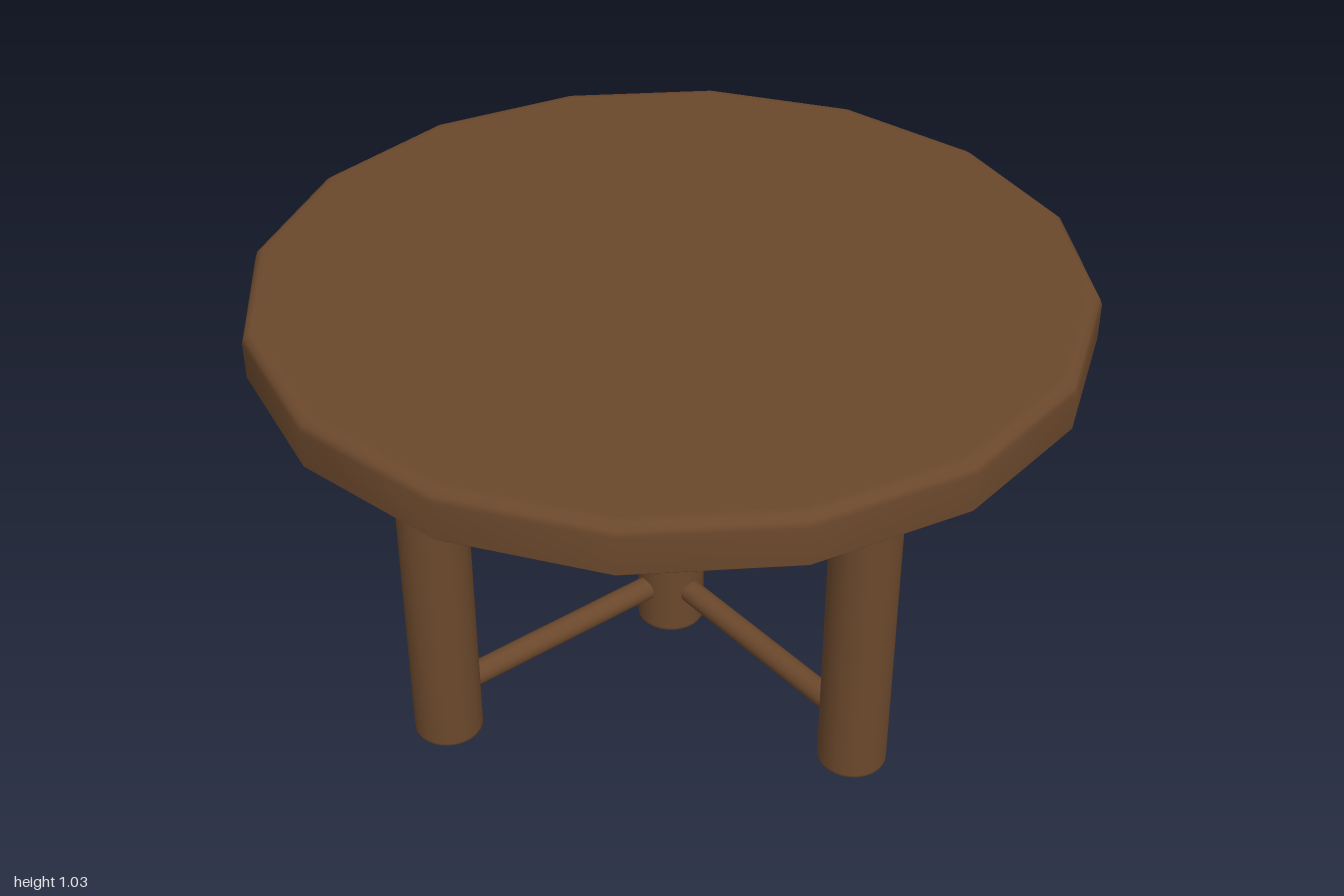
import * as THREE from 'three';

const wood = new THREE.MeshStandardMaterial({ color: 0x6b482c });

// Revolve a [radius, height] profile around y
function turned(name, profile, sides) {
  const points = profile.map(([r, y]) => new THREE.Vector2(r, y));
  const mesh = new THREE.Mesh(new THREE.LatheGeometry(points, sides), wood);
  mesh.name = name;
  return mesh;
}

// Round post with slightly eased ends and flat caps
function post(name, radius, height) {
  const e = 0.006;
  return turned(name, [
    [0, 0], [radius - 2 * e, 0], [radius - e, 0], [radius, e], [radius, 2 * e],
    [radius, height - 2 * e], [radius, height - e], [radius - e, height],
    [radius - 2 * e, height], [0, height],
  ], 28);
}

export function createModel() {
  const table = new THREE.Group();
  table.name = 'roundTable';

  // Sixteen-sided top with a softened upper edge
  table.add(turned('tableTop', [
    [0, 0.91], [0.995, 0.91], [1, 0.915], [1, 1.005], [0.994, 1.02],
    [0.98, 1.03], [0.96, 1.03], [0, 1.03],
  ], 16));

  // Four legs on the diagonals
  const legOffset = 0.493;
  for (const x of [-1, 1]) {
    for (const z of [-1, 1]) {
      const leg = post('leg', 0.083, 0.915);
      leg.position.set(x * legOffset, 0, z * legOffset);
      table.add(leg);
    }
  }

  // Short central hub
  table.add(post('hub', 0.085, 0.23));

  // Stretchers from the hub out to each leg
  const length = legOffset * Math.SQRT2;
  for (let i = 0; i < 4; i++) {
    const stretcher = new THREE.Group();
    stretcher.name = 'stretcher';
    const bar = new THREE.Mesh(new THREE.CylinderGeometry(0.03, 0.03, length, 20), wood);
    bar.name = 'stretcherBar';
    bar.rotation.z = Math.PI / 2;
    bar.position.set(length / 2, 0.118, 0);
    stretcher.add(bar);
    stretcher.rotation.y = Math.PI / 4 + (i * Math.PI) / 2;
    table.add(stretcher);
  }

  return table;
}
